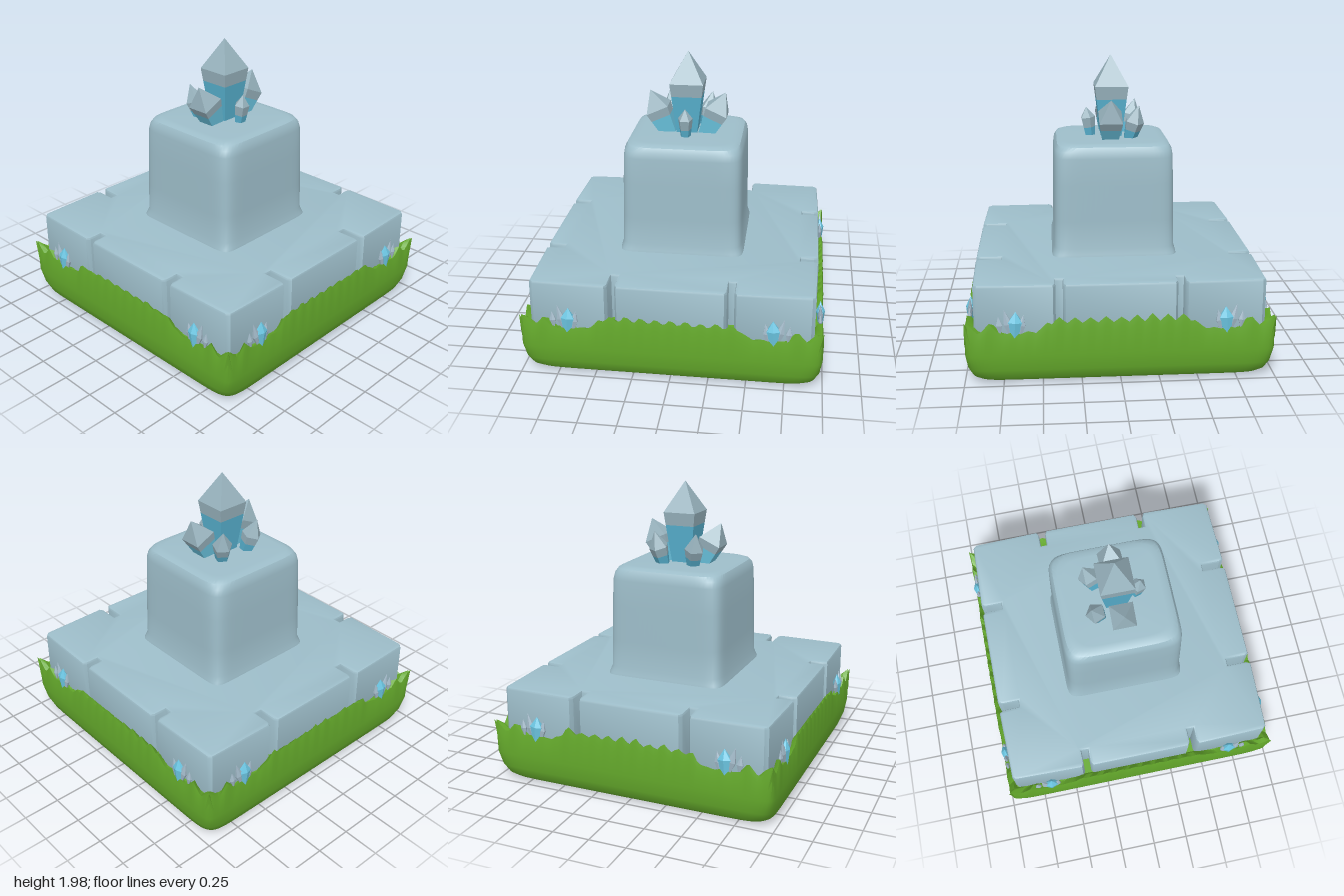
import * as THREE from 'three';
import { toCreasedNormals } from 'three/addons/utils/BufferGeometryUtils.js';

const mat = (name, color, flatShading = false) =>
  Object.assign(new THREE.MeshStandardMaterial({ color, flatShading }), { name });

// Outline of a square (corner sharpness n), counterclockwise from above
function squareRing(perSide, r, n, yAt) {
  const pts = [];
  for (let k = 0; k < 4; k++) {
    for (let i = 0; i < perSide; i++) {
      const s = -1 + (2 * i) / perSide;
      let x = 1, z = -s;
      for (let j = 0; j < k; j++) [x, z] = [z, -x];
      const f = r / Math.pow(Math.abs(x) ** n + Math.abs(z) ** n, 1 / n);
      pts.push([x * f, yAt(s, k), z * f]);
    }
  }
  return pts;
}

// Skin over a stack of equal-length rings, capped at both ends
function loft(rings) {
  const n = rings[0].length, pos = rings.flat(2), idx = [];
  for (let i = 0; i < rings.length - 1; i++) {
    for (let j = 0; j < n; j++) {
      const a = i * n + j, b = i * n + ((j + 1) % n);
      idx.push(a, b, b + n, a, b + n, a + n);
    }
  }
  const last = rings.length - 1, c0 = rings.length * n, c1 = c0 + 1;
  pos.push(0, rings[0][0][1], 0, 0, rings[last][0][1], 0);
  for (let j = 0; j < n; j++) {
    const k = (j + 1) % n;
    idx.push(c0, k, j, c1, last * n + j, last * n + k);
  }
  const g = new THREE.BufferGeometry();
  g.setAttribute('position', new THREE.Float32BufferAttribute(pos, 3));
  g.setIndex(idx);
  return toCreasedNormals(g, 0.6);
}

const hash = (v) => { const f = Math.sin(v * 127.1 + 3.7) * 43758.5; return f - Math.floor(f); };
const spike = (s, at, w) => Math.max(0, 1 - Math.abs(s - at) / w);

// Height of the ragged grass edge along one side
function grassEdge(s, k) {
  const a = Math.abs(s);
  const base = 0.345 + 0.065 * (1 - THREE.MathUtils.smoothstep(a, 0.42, 0.58));
  const u = s * 10 + 0.5 + k * 0.3, cell = Math.floor(u);
  const tooth = 1 - Math.abs(u - cell - 0.5) * 2;
  const amp = (a < 0.5 ? 0.03 : 0.012) + 0.03 * hash(cell + k * 31) * (a < 0.5 ? 1 : 0.3);
  return Math.max(base + tooth * amp, 0.33 + 0.09 * spike(a, 0.85, 0.08), 0.33 + 0.1 * spike(a, 1, 0.1));
}

export function createModel() {
  const model = new THREE.Group();
  const stone = mat('stone', 0x9dbdc9);
  const grass = mat('grass', 0x64a92b);
  const crystalGrey = mat('crystalGrey', 0x98b3be, true);
  const crystalBlue = mat('crystalBlue', 0x58b2d0, true);
  const crystalBright = mat('crystalBright', 0x6cc6e2, true);
  const paleShard = mat('paleShard', 0xa3bac9, true);
  const add = (parent, name, geo, material) => {
    const m = new THREE.Mesh(geo, material);
    m.name = name;
    parent.add(m);
    return m;
  };

  // Grass tray with a ragged rim and a floor just inside it
  const M = 80;
  const flat = (y) => () => y;
  add(model, 'grassBase', loft([
    squareRing(M, 0.9, 14, flat(0.004)),
    squareRing(M, 0.94, 16, flat(0.015)),
    squareRing(M, 0.965, 18, flat(0.04)),
    squareRing(M, 0.985, 24, flat(0.1)),
    squareRing(M, 0.995, 40, flat(0.2)),
    squareRing(M, 0.99, 80, (s, k) => grassEdge(s, k) - 0.05),
    squareRing(M, 0.982, 400, grassEdge),
    squareRing(M, 0.95, 400, (s, k) => Math.min(grassEdge(s, k) - 0.02, 0.4)),
    squareRing(M, 0.93, 400, flat(0.33)),
  ]), grass);

  // Corner grass blades leaning outwards
  for (const x of [-1, 1]) for (const z of [-1, 1]) {
    const blade = new THREE.ConeGeometry(0.04, 0.16, 4);
    blade.translate(0, 0.08, 0);
    const m = add(model, 'cornerBlade', blade, grass);
    m.position.set(x * 0.955, 0.28, z * 0.955);
    m.rotation.set(z * 0.22, 0, -x * 0.22);
  }

  // Bare stone patch underneath
  const patch = new THREE.Shape([[0.58, 0.45], [0.25, 0.08], [-0.07, -0.1], [-0.3, 0.2],
    [-0.54, 0.44], [-0.26, 0.66], [0.1, 0.55]].map(([x, z]) => new THREE.Vector2(x, z)));
  add(model, 'undersidePatch', new THREE.ShapeGeometry(patch).rotateX(Math.PI / 2), stone);

  // Slab with two slots cut into every side
  const R = 0.945, outline = [];
  [0.12, 0.15, 0.12, 0.17].forEach((d, k) => {
    const side = [[R - 0.012, -R + 0.035]];
    for (const c of [-0.39, 0.39]) {
      side.push([R, c - 0.04], [R - 0.03, c - 0.024], [R - d, c - 0.024],
        [R - d, c + 0.024], [R - 0.03, c + 0.024], [R, c + 0.04]);
    }
    side.push([R - 0.012, R - 0.035]);
    for (let [x, y] of side) {
      for (let j = 0; j < k; j++) [x, y] = [-y, x];
      outline.push(new THREE.Vector2(x, y));
    }
  });
  const slab = new THREE.ExtrudeGeometry(new THREE.Shape(outline), {
    depth: 0.419, bevelThickness: 0.018, bevelSize: 0.018, bevelOffset: -0.018, bevelSegments: 2,
  });
  slab.rotateX(-Math.PI / 2).translate(0, 0.218, 0);
  add(model, 'slab', toCreasedNormals(slab, 0.6), stone);

  // Pedestal block with a flared foot and worn top edge
  const block = loft([
    [0.43, 0.64, 14], [0.425, 0.67, 12], [0.413, 0.71, 11], [0.41, 0.9, 11], [0.407, 1.15, 10],
    [0.404, 1.33, 9], [0.398, 1.375, 8], [0.382, 1.405, 7], [0.355, 1.418, 6], [0.32, 1.42, 6],
  ].map(([r, y, n]) => squareRing(24, r, n, flat(y))));
  add(model, 'pedestal', block, stone);

  // Crystal: tapered shaft, blue up to height c, grey above, pointed tip
  function crystal(name, sides, r0, r1, c, mid, tip, blue) {
    const g = new THREE.Group();
    g.name = name;
    const turn = Math.PI / sides, rc = r0 + ((r1 - r0) * c) / mid;
    const piece = (label, top, bottom, y0, y1, m) => add(g, label,
      new THREE.CylinderGeometry(top, bottom, y1 - y0, sides).rotateY(turn).translate(0, (y0 + y1) / 2, 0), m);
    piece('crystalFoot', rc, r0, 0, c, blue);
    piece('crystalShaft', r1, rc, c, mid, crystalGrey);
    piece('crystalTip', 0, r1, mid, tip, crystalGrey);
    model.add(g);
    return g;
  }
  const Q = Math.SQRT2;
  crystal('mainCrystal', 4, 0.07 * Q, 0.115 * Q, 0.27, 0.36, 0.57, crystalBlue).position.y = 1.41;
  for (const x of [-1, 1]) {
    const side = crystal('sideCrystal', 4, 0.05 * Q, 0.08 * Q, 0.13, 0.19, 0.33, crystalBright);
    side.position.set(x * 0.125, 1.4, 0.015);
    side.rotation.z = -x * 0.43;
    const back = crystal('backCrystal', 5, 0.045, 0.07, 0.08, 0.14, 0.26, crystalBlue);
    back.position.set(x * 0.11, 1.4, -0.12);
    back.rotation.set(-0.25, 0, -x * 0.17);
  }
  const front = crystal('frontCrystal', 5, 0.035, 0.053, 0.07, 0.14, 0.215, crystalBlue);
  front.position.set(0, 1.405, 0.145);
  front.rotation.x = 0.13;

  // Shard clusters near both ends of every side: [offset, y, width, up, down, tilt, material]
  const shards = [
    [0, 0.42, 0.05, 0.07, 0.21, 0.05, crystalBright],
    [0.045, 0.41, 0.03, 0.1, 0.13, -0.25, paleShard],
    [-0.04, 0.4, 0.028, 0.07, 0.15, 0.2, paleShard],
    [0.1, 0.4, 0.024, 0.06, 0.07, -0.1, paleShard],
  ];
  for (let k = 0; k < 4; k++) for (const end of [-1, 1]) {
    const cluster = new THREE.Group();
    cluster.name = 'shardCluster';
    for (const [dx, y, w, up, down, tilt, m] of shards) {
      const pts = [[0, -down], [w, 0], [0, up]].map(([a, b]) => new THREE.Vector2(a, b));
      const shard = add(cluster, 'shard', new THREE.LatheGeometry(pts, 6), m);
      shard.scale.z = 0.6;
      shard.position.set(end * (0.67 + dx), y, 0.968);
      shard.rotation.set(-0.04, 0, end * tilt);
    }
    cluster.rotation.y = (k * Math.PI) / 2;
    model.add(cluster);
  }
  return model;
}
